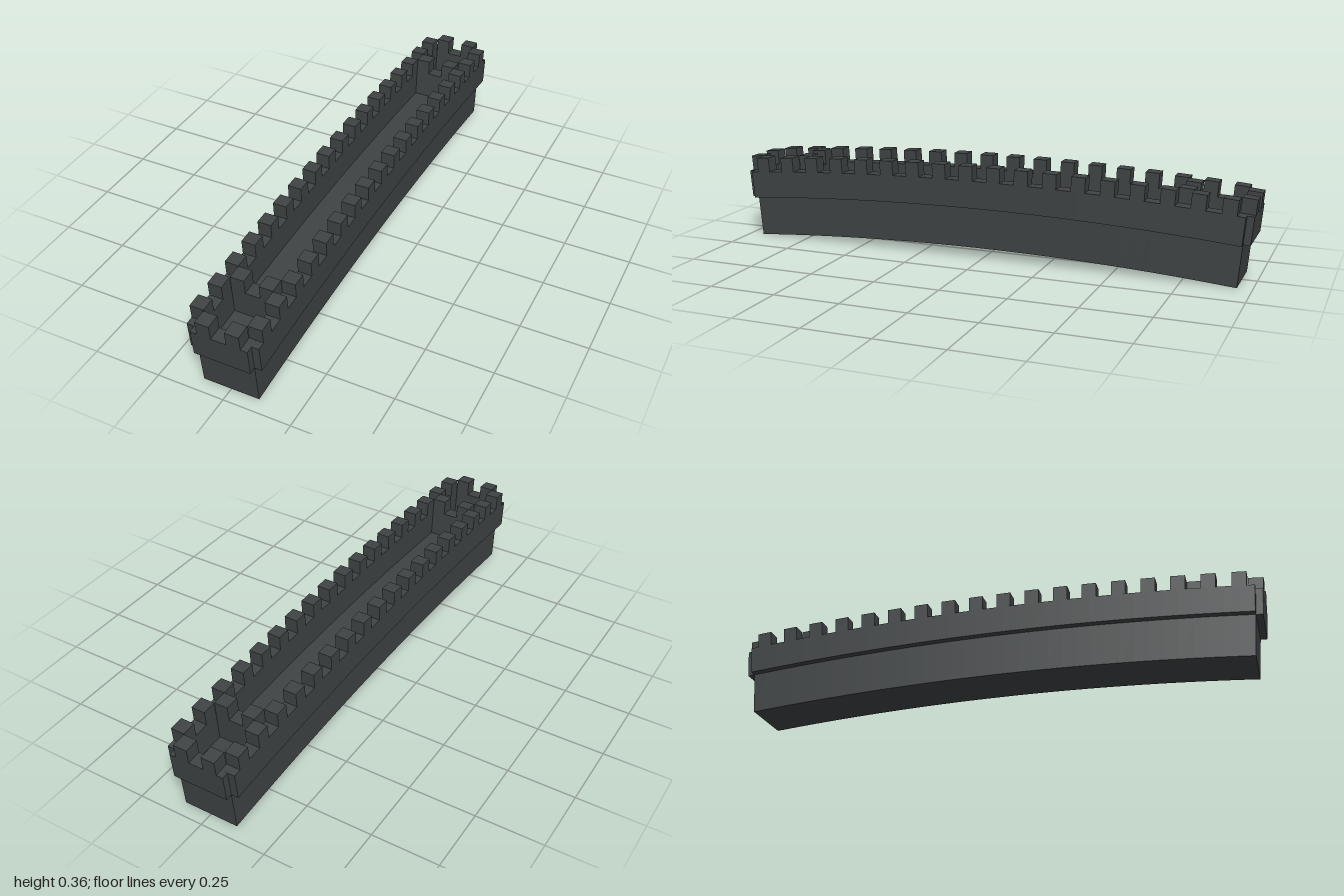
import * as THREE from 'three';

const R = 11;            // bend radius of the underside
const END = 0.947;       // half length of the core along the arc
const H_WALK = 0.157, H_PARAPET = 0.26, H_TOP = 0.315;
const LIFT = R * (1 - Math.cos(END / R));

export function createModel() {
  const group = new THREE.Group();
  const stone = new THREE.MeshStandardMaterial({ color: 0x3f4344, flatShading: true });

  // Box given by its x, height and arc-length ranges, bent about the x axis
  function block(name, x0, x1, h0, h1, s0, s1, segments = 1) {
    const geo = new THREE.BoxGeometry(x1 - x0, h1 - h0, s1 - s0, 1, 1, segments);
    geo.translate((x0 + x1) / 2, (h0 + h1) / 2, (s0 + s1) / 2);
    const p = geo.attributes.position;
    for (let i = 0; i < p.count; i++) {
      const r = R + p.getY(i), a = p.getZ(i) / R;
      p.setXYZ(i, p.getX(i), r * Math.cos(a) - R + LIFT, r * Math.sin(a));
    }
    geo.computeVertexNormals();
    const mesh = new THREE.Mesh(geo, stone);
    mesh.name = name;
    group.add(mesh);
  }

  // Same block at +s or -s
  function endBlock(name, side, x0, x1, h0, h1, s0, s1) {
    block(name, x0, x1, h0, h1, side > 0 ? s0 : -s1, side > 0 ? s1 : -s0);
  }

  // Solid wall whose top is the walkway
  block('wallCore', -0.105, 0.105, 0, H_WALK, -END, END, 36);

  // Long overhanging parapets with their merlons
  const pitch = 0.105, half = 0.0255;
  for (const side of [-1, 1]) {
    const x0 = side > 0 ? 0.08 : -0.132, x1 = x0 + 0.052;
    block('sideParapet', x0, x1, H_WALK, H_PARAPET, -END, END, 36);
    for (let k = 0; k < 18; k++) {
      const s = (k - 8.5) * pitch;
      block('sideMerlon', x0, x1, H_PARAPET, H_TOP, s - half, s + half);
    }
  }

  // End parapets and inner cross walls, two merlons on each
  for (const side of [-1, 1]) {
    endBlock('endParapet', side, -0.105, 0.105, H_WALK, H_PARAPET, 0.92, 0.972);
    endBlock('crossWall', side, -0.08, 0.08, H_WALK, H_PARAPET, 0.708, 0.761);
    for (const x of [-0.08, 0.028]) {
      endBlock('endMerlon', side, x, x + 0.052, H_PARAPET, H_TOP, 0.92, 0.972);
      endBlock('crossWallMerlon', side, x, x + 0.052, H_PARAPET, H_TOP, 0.708, 0.761);
    }
  }
  return group;
}
